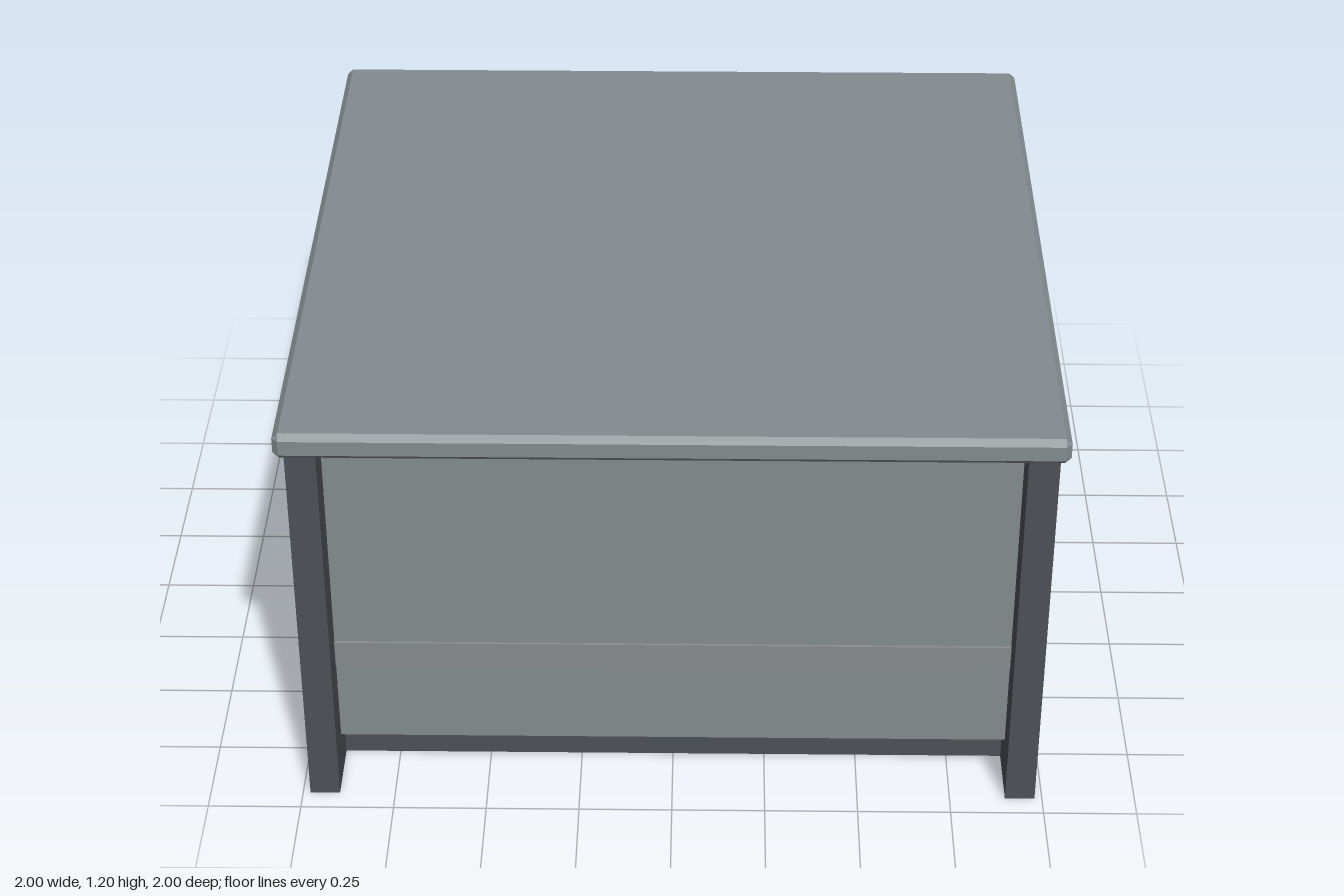
import * as THREE from 'three';
import { ConvexGeometry } from 'three/addons/geometries/ConvexGeometry.js';

export function createModel() {
  const model = new THREE.Group();
  model.name = 'cabinet';

  const material = (name, color) => {
    const m = new THREE.MeshStandardMaterial({ color });
    m.name = name;
    return m;
  };
  const light = material('light grey', 0x848c8f);
  const dark = material('dark grey', 0x4d5156);
  const trim = material('trim grey', 0x888b8e);

  const add = (name, geometry, mat, x, y, z) => {
    const mesh = new THREE.Mesh(geometry, mat);
    mesh.name = name;
    mesh.position.set(x, y, z);
    model.add(mesh);
  };
  // Box given by its minimum and maximum corners
  const box = (name, mat, [x0, y0, z0], [x1, y1, z1]) =>
    add(name, new THREE.BoxGeometry(x1 - x0, y1 - y0, z1 - z0), mat,
      (x0 + x1) / 2, (y0 + y1) / 2, (z0 + z1) / 2);

  // Box with every edge and corner chamfered
  const chamferedBox = (hx, hy, hz, c) => {
    const points = [];
    for (const sx of [-1, 1]) for (const sy of [-1, 1]) for (const sz of [-1, 1]) {
      points.push(
        new THREE.Vector3(sx * hx, sy * (hy - c), sz * (hz - c)),
        new THREE.Vector3(sx * (hx - c), sy * hy, sz * (hz - c)),
        new THREE.Vector3(sx * (hx - c), sy * (hy - c), sz * hz));
    }
    return new ConvexGeometry(points);
  };

  // Worktop
  add('top', chamferedBox(1, 0.0365, 1, 0.016), light, 0, 1.1635, 0);

  // Side panels reaching the floor
  box('rightSide', dark, [0.9, 0, -0.94], [0.98, 1.128, 0.94]);
  box('leftSide', dark, [-0.98, 0, -0.94], [-0.9, 1.128, 0.94]);

  // Recessed panel, trim rail and toe kick on the front and the back
  for (const [side, s] of [['front', 1], ['back', -1]]) {
    const slab = (name, mat, y0, y1, zInner, zOuter) =>
      box(side + name, mat,
        [-0.9, y0, Math.min(s * zInner, s * zOuter)],
        [0.9, y1, Math.max(s * zInner, s * zOuter)]);
    slab('Panel', light, 0.122, 1.128, 0.76, 0.84);
    slab('Rail', trim, 0.365, 0.44, 0.84, 0.848);
    slab('Kick', dark, 0, 0.122, 0.69, 0.76);
  }

  // Cabinet floor between the toe kicks
  box('bottom', dark, [-0.9, 0.122, -0.76], [0.9, 0.19, 0.76]);

  return model;
}
